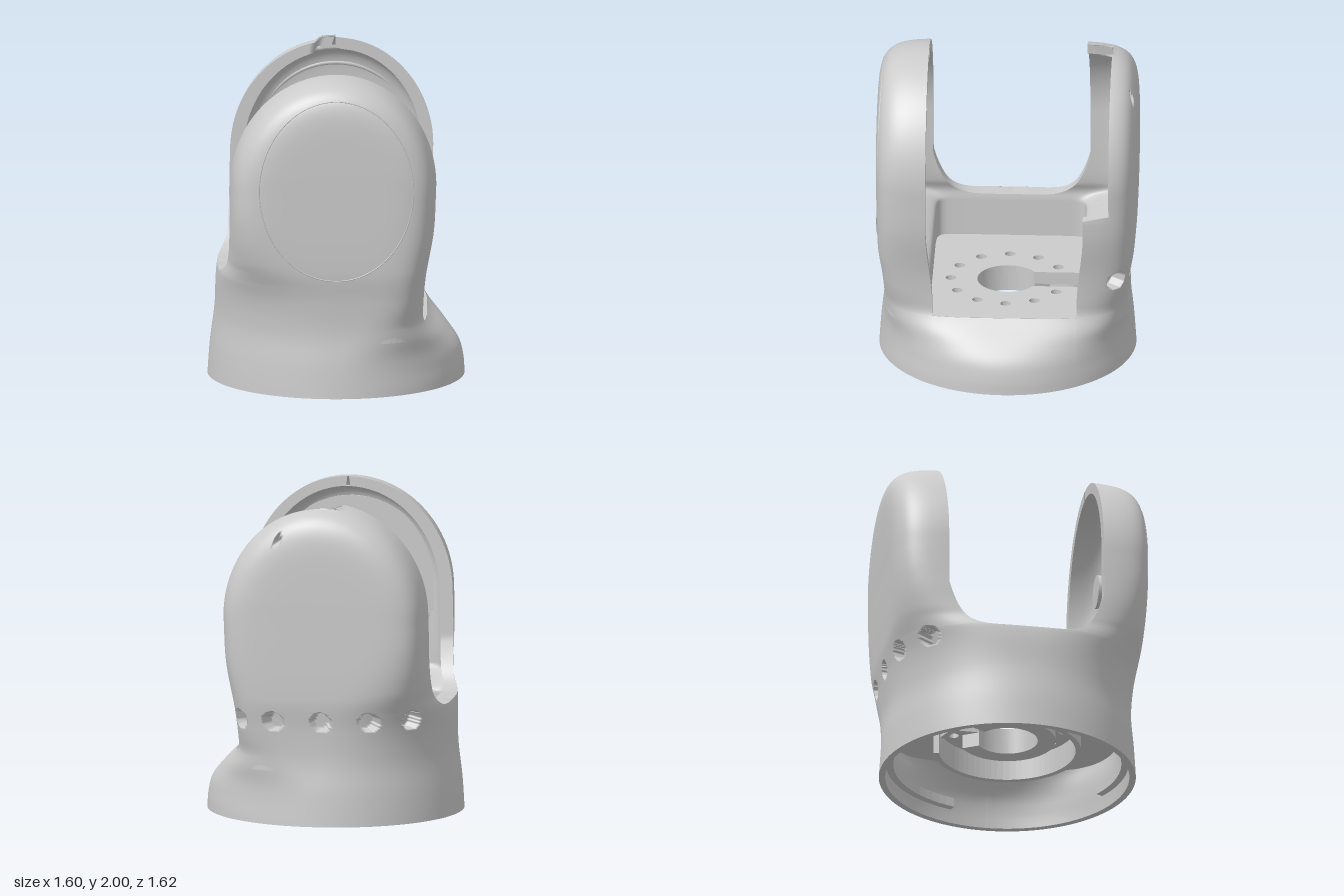
import * as THREE from 'three';

const FLOOR = 0.42, EAR_Y = 1.32, DOME_Y = 1.3, DOME_H = 0.7022;
const mat = new THREE.MeshStandardMaterial({ color: 0xcccccc, side: THREE.DoubleSide });
const clamp01 = v => Math.min(1, Math.max(0, v));
const smooth = (a, b, v) => { const t = clamp01((v - a) / (b - a)); return t * t * (3 - 2 * t); };
const lerp = THREE.MathUtils.lerp;

// Smooth lookup in a short table of [y, value]
function lookup(table, y) {
  const last = table.length - 1;
  if (y >= table[last][0]) return table[last][1];
  let i = 0;
  while (i < last - 1 && y > table[i + 1][0]) i++;
  const slope = k => {
    const p = table[Math.max(0, k - 1)], q = table[Math.min(last, k + 1)];
    return (q[1] - p[1]) / (q[0] - p[0]);
  };
  const [y0, v0] = table[i], [y1, v1] = table[i + 1], h = y1 - y0, t = (y - y0) / h;
  return (1 + 2 * t) * (1 - t) ** 2 * v0 + t * (1 - t) ** 2 * h * slope(i)
    + t * t * (3 - 2 * t) * v1 + t * t * (t - 1) * h * slope(i + 1);
}

// Body cross-section by height: half widths right/left, half depth and squareness
const RIGHT = [[0, 0.8], [0.1, 0.793], [0.2, 0.765], [0.3, 0.685], [0.42, 0.57], [0.5, 0.55], [0.7, 0.56], [1, 0.61], [1.3, 0.625]];
const LEFT = [[0, 0.8], [0.2, 0.785], [0.42, 0.757], [0.69, 0.74], [0.8, 0.69], [1, 0.67], [1.3, 0.66]];
const DEPTH = [[0, 0.8], [0.2, 0.785], [0.4, 0.765], [0.6, 0.775], [0.8, 0.8], [1.4, 0.81]];
const SQUARE_R = [[0, 2], [0.2, 2.1], [0.3, 2.6], [0.42, 3.9], [0.6, 5.8], [0.8, 6.6], [1.2, 7.5]];
const SQUARE_L = [[0, 2], [0.42, 2.2], [0.7, 2.8], [0.85, 4.4], [1.1, 7], [1.2, 7.5]];

const section = y => ({
  aR: lookup(RIGHT, y), aL: lookup(LEFT, y), b: lookup(DEPTH, y),
  nR: lookup(SQUARE_R, y), nL: lookup(SQUARE_L, y),
  s: Math.max(0, (y - DOME_Y) / DOME_H), // share of the dome height
});

// Boxy well at the floor, opening into the round ear cavity
function innerSection(y, depth) {
  const o = section(y), t = smooth(0.66, 0.8, y), n = lerp(16, 10, t);
  return {
    aR: o.aR * lerp(0.94, 0.89, t), aL: lerp(0.625, o.aL * 0.87, t),
    b: lerp(0.47, depth, t), nR: n, nL: n, s: o.s,
  };
}

function depthAt(sec, x) {
  const n = x > 0 ? sec.nR : sec.nL;
  const rho = Math.hypot(x / (x > 0 ? sec.aR : sec.aL), sec.s);
  return sec.b * Math.max(0, 1 - rho ** n) ** (1 / n);
}
// Half width of a section where its depth equals cut
const widthAt = (sec, a, n, cut) =>
  a * Math.sqrt(Math.max(0, Math.max(0, 1 - (cut / sec.b) ** n) ** (2 / n) - sec.s ** 2));

// Point on a half section; u runs from the +x cut round to the -x cut
function halfPoint(sec, cutR, cutL, u) {
  const c = Math.cos(Math.PI * u);
  const x = c * (c > 0 ? widthAt(sec, sec.aR, sec.nR, cutR) : widthAt(sec, sec.aL, sec.nL, cutL));
  return [x, depthAt(sec, x)];
}

// Surface from rows of points
function grid(rows, cols, point) {
  const pos = [], idx = [];
  for (let i = 0; i <= rows; i++) for (let j = 0; j <= cols; j++) pos.push(...point(i, j));
  for (let i = 0; i < rows; i++) for (let j = 0; j < cols; j++) {
    const k = i * (cols + 1) + j, m = k + cols + 1;
    idx.push(k, k + 1, m, k + 1, m + 1, m);
  }
  const g = new THREE.BufferGeometry();
  g.setAttribute('position', new THREE.Float32BufferAttribute(pos, 3));
  g.setIndex(idx);
  g.computeVertexNormals();
  return g;
}

// Circle, ring or arc plate
function ringShape(rOut, rIn, a0 = 0, a1 = Math.PI * 2) {
  const s = new THREE.Shape();
  s.absarc(0, 0, rOut, a0, a1, false);
  if (a1 - a0 < 6.28) s.absarc(0, 0, rIn, a1, a0, true);
  else if (rIn) addHole(s, 0, 0, rIn);
  return s;
}
function addHole(shape, x, y, r) {
  const h = new THREE.Path();
  h.absarc(x, y, r, 0, Math.PI * 2, true);
  shape.holes.push(h);
}
const extrude = (shape, depth) => new THREE.ExtrudeGeometry(shape, { depth, bevelEnabled: false, curveSegments: 32 });

export function createModel() {
  const root = new THREE.Group();
  const add = (name, geo, parent = root) => {
    const m = new THREE.Mesh(geo, mat);
    m.name = name;
    parent.add(m);
    return m;
  };

  // Heights of the section rows
  const ys = [], first = 18;
  for (let i = 0; i < first; i++) ys.push(FLOOR * i / first);
  for (let i = 0; i < 28; i++) ys.push(FLOOR + 0.28 * i / 28);
  for (let i = 0; i < 40; i++) ys.push(0.7 + 0.6 * (i / 40) ** 2.2);
  for (let i = 0; i <= 32; i++) ys.push(DOME_Y + 0.7 * Math.sin(Math.PI / 2 * i / 32));
  const last = ys.length - 1, COLS = 160, IN_COLS = 90;

  // Screw holes round the back, and one small hole near its top
  const isHole = (x, y, z) => Math.hypot(x - 0.25, y - 1.8) < 0.022
    || [0.957, 1.23, 1.6, 1.98, 2.33].some(a => Math.hypot(0.8 * (Math.atan2(z, x) - a), y - 0.66) < 0.058);

  for (const side of [1, -1]) {
    const label = side > 0 ? 'front' : 'back', cavity = side > 0 ? 0.7 : 0.72;
    const cuts = y => [
      side < 0 && y > 1.13 ? 0.65 : 0.45 + 0.04 * smooth(0.5, 1, y),
      0.49 * clamp01((y - 0.7) / 0.3) ** (1 / 6),
    ];
    // the back rim is set back on its open side
    const setBack = (x, y) => side < 0 && y > 1.14 && x > -0.11 ? 0.65 : 0;
    const outer = (i, u) => {
      const y = ys[i], [x, z] = halfPoint(section(y), ...cuts(y), u);
      const k = side < 0 && isHole(x, y, z) ? 0.9 : 1;
      return [x * k, y, Math.max(z * k, setBack(x, y)) * side];
    };
    const inner = (i, u) => {
      const y = ys[i], [x, z] = halfPoint(innerSection(y, cavity), ...cuts(y), u);
      const slot = side < 0 && Math.abs(x) < 0.115 ? 0.65 : 0;
      return [x, y > DOME_Y ? DOME_Y + (y - DOME_Y) * 0.91 : y, Math.max(z, slot, setBack(x, y)) * side];
    };
    add(label + 'Shell', grid(last, COLS, (i, j) => outer(i, j / COLS)));
    add(label + 'Cavity', grid(last - first, IN_COLS, (i, j) => inner(i + first, j / IN_COLS)));
    for (const u of [0, 1])
      add(label + 'Rim', grid(last - first, 1, (i, k) => (k ? inner : outer)(i + first, u)));

    // Hollow underside of the base with its bottom lip
    const under = (y, k, j) => {
      const [x, z] = halfPoint(section(y), 0, 0, j / 60);
      return [x * k, y, z * k * side];
    };
    add('baseLining', grid(12, 60, (i, j) => under(0.36 * i / 12, 0.95, j)));
    add('baseLip', grid(1, 60, (i, j) => under(0, i ? 0.95 : 1, j)));
  }

  // Sloping shoulder of the base below the opening
  add('baseShoulder', grid(first, 30, (i, j) => {
    const z = 0.45 * (1 - j / 15), sec = section(ys[i]);
    return [widthAt(sec, sec.aR, sec.nR, Math.abs(z)), ys[i], z];
  }));

  // Floor plate with keyhole slot and bolt circle (shape y becomes -z)
  const plan = [], floorSection = section(FLOOR);
  for (const side of [1, -1]) for (let j = 0; j < 40; j++) {
    const [x, z] = halfPoint(floorSection, 0, 0, side > 0 ? j / 40 : 1 - j / 40);
    plan.push(new THREE.Vector2(x * 0.995, z * side * 0.995));
  }
  const floor = new THREE.Shape(plan);
  const key = new THREE.Path(), open = Math.asin(0.1 / 0.19);
  key.moveTo(0.1, 0.6);
  key.quadraticCurveTo(0.1, 0.63, 0.07, 0.63);
  key.lineTo(-0.07, 0.63);
  key.quadraticCurveTo(-0.1, 0.63, -0.1, 0.6);
  key.absarc(0, 0, 0.19, Math.PI / 2 + open, Math.PI * 2.5 - open, false);
  key.closePath();
  floor.holes.push(key);
  for (let i = 1; i < 12; i++) {
    const a = Math.PI / 2 + i * Math.PI / 6;
    addHole(floor, 0.355 * Math.cos(a), 0.355 * Math.sin(a), 0.033);
  }
  const flat = (name, shape, y, h) => {
    const m = add(name, extrude(shape, h));
    m.rotation.x = -Math.PI / 2;
    m.position.y = y;
  };
  flat('floorPlate', floor, FLOOR - 0.08, 0.08);

  // Bearing seat rings and inner step under the floor, open at the slot
  const gapRing = (rOut, rIn, gap) => ringShape(rOut, rIn, Math.PI / 2 + gap, Math.PI * 2.5 - gap);
  flat('bearingWall', gapRing(0.46, 0.425, 0.25), 0.18, 0.17);
  flat('bearingCollar', gapRing(0.3, 0.19, 0.56), 0.25, 0.1);
  flat('baseStep', ringShape(0.76, 0.71, 0.3, 5.2), 0.09, 0.06);

  // Sockets in the ledge at the foot of the back ear
  for (const x of [0.19, 0.31, 0.43])
    add('ledgeSocket', new THREE.TorusGeometry(0.025, 0.006, 8, 24)).position.set(x, 0.61, -0.47);

  // Drive flange inside the front ear
  const drive = new THREE.Group();
  drive.name = 'driveFlange';
  drive.position.set(0, EAR_Y, 0);
  root.add(drive);
  add('drivePlate', extrude(ringShape(0.53, 0), 0.02), drive).position.z = 0.675;
  const flange = ringShape(0.33, 0);
  for (let i = 0; i < 8; i++) addHole(flange, 0.265 * Math.cos(i * Math.PI / 4), 0.265 * Math.sin(i * Math.PI / 4), 0.033);
  add('boltFlange', extrude(flange, 0.035), drive).position.z = 0.64;
  add('driveBoss', extrude(ringShape(0.105, 0), 0.1), drive).position.z = 0.56;

  // Bearing rings inside the back ear, with a lip on the open side
  const pivot = new THREE.Group();
  pivot.name = 'pivotBearing';
  pivot.position.set(0, EAR_Y, -0.72);
  root.add(pivot);
  add('dishRing', new THREE.TorusGeometry(0.49, 0.015, 10, 72), pivot);
  add('pivotDisc', extrude(ringShape(0.21, 0.05), 0.015), pivot);
  add('pivotCollar', extrude(ringShape(0.1, 0.055), 0.04), pivot);
  add('pivotLip', extrude(ringShape(0.55, 0.5, -1.1, 0.1), 0.07), pivot);

  // Oval cover seam on the front face
  const seam = [];
  for (let i = 0; i < 64; i++) {
    const t = i * Math.PI / 32, x = 0.48 * Math.cos(t), y = EAR_Y + 0.57 * Math.sin(t);
    seam.push(new THREE.Vector3(x, y, depthAt(section(y), x)));
  }
  add('coverSeam', new THREE.TubeGeometry(new THREE.CatmullRomCurve3(seam, true), 160, 0.004, 6, true));
  return root;
}
